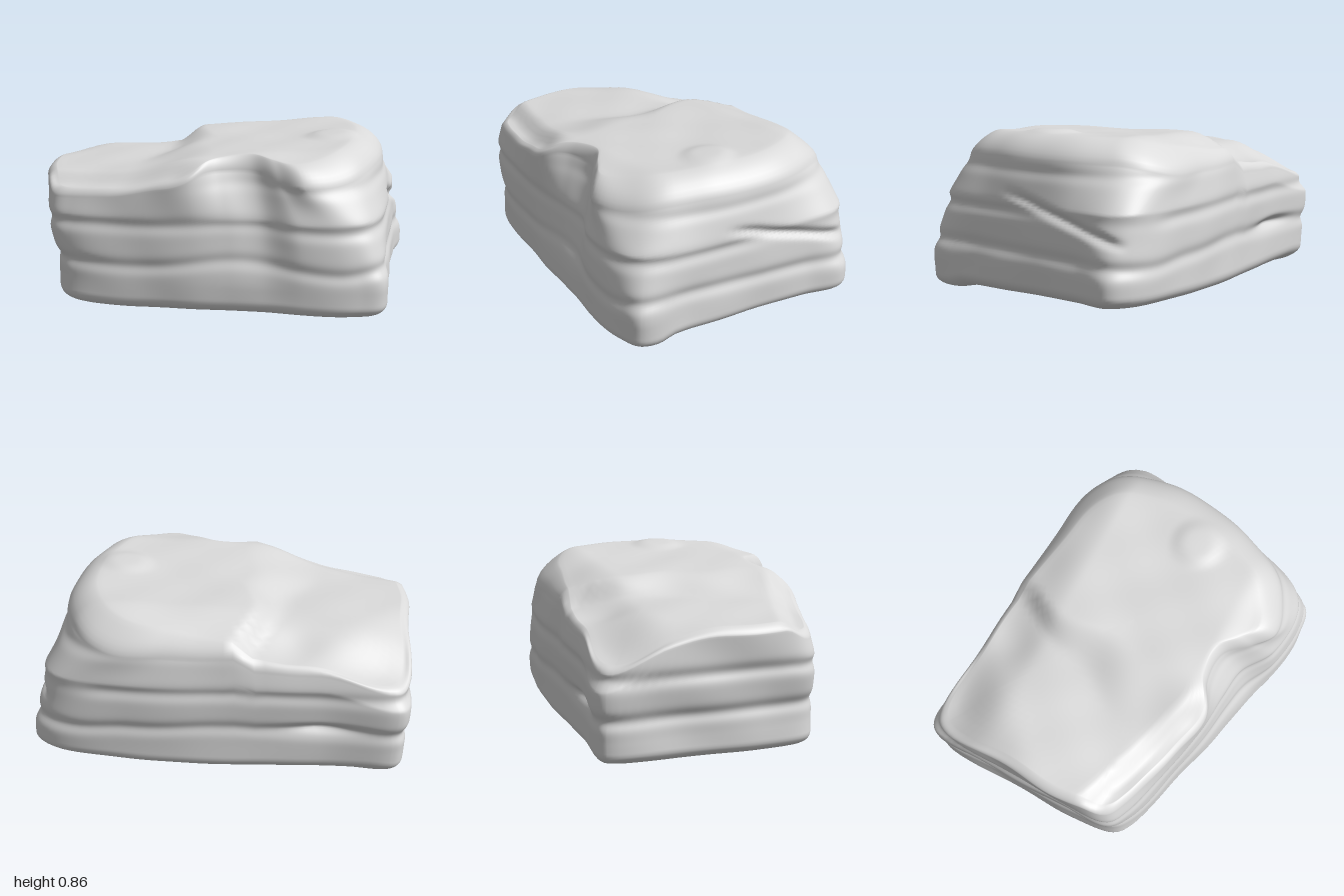
import * as THREE from 'three';

const { lerp, smoothstep, clamp } = THREE.MathUtils;

// Plan outlines [x, z], matched point for point: foot, middle and upper edge
const FOOT = [[-0.92, 0.36], [-0.84, 0.43], [-0.5, 0.52], [-0.25, 0.59], [-0.05, 0.63], [0.12, 0.67], [0.33, 0.73],
  [0.6, 0.755], [0.74, 0.72], [0.8, 0.42], [0.87, 0.05], [0.94, -0.25], [1.0, -0.46], [0.91, -0.56], [0.5, -0.66],
  [0, -0.69], [-0.5, -0.7], [-0.86, -0.74], [-0.92, -0.7], [-0.94, -0.3], [-0.95, 0.1]];
const MIDDLE = [[-0.97, 0.36], [-0.86, 0.43], [-0.5, 0.52], [-0.25, 0.57], [-0.05, 0.58], [0.12, 0.6], [0.3, 0.71],
  [0.52, 0.73], [0.69, 0.65], [0.8, 0.36], [0.87, 0.02], [0.91, -0.22], [0.93, -0.44], [0.85, -0.56], [0.5, -0.66],
  [0, -0.69], [-0.5, -0.71], [-0.89, -0.755], [-0.95, -0.71], [-0.98, -0.3], [-0.99, 0.1]];
const UPPER = [[-0.96, 0.34], [-0.85, 0.41], [-0.5, 0.51], [-0.27, 0.57], [-0.1, 0.49], [0.07, 0.49], [0.2, 0.6],
  [0.33, 0.69], [0.58, 0.59], [0.74, 0.31], [0.82, 0.0], [0.82, -0.25], [0.76, -0.46], [0.62, -0.61], [0.3, -0.65],
  [0, -0.67], [-0.5, -0.69], [-0.88, -0.725], [-0.94, -0.68], [-0.98, -0.28], [-1.0, 0.08]];

const SEGMENTS = 189, SIDE_ROWS = 56, CAP_ROWS = 24, ROUND_ROWS = 8;
const FOOT_ROUND = 0.065, FOOT_INSET = 0.1;

const sampleLoop = (points) => {
  const curve = new THREE.CatmullRomCurve3(points.map(([x, z]) => new THREE.Vector3(x, 0, z)), true, 'centripetal');
  return Array.from({ length: SEGMENTS }, (_, i) => curve.getPoint(i / SEGMENTS));
};
const bell = (d, width) => Math.exp(-((d / width) ** 2));
const ripple = (x, y, z) =>
  Math.sin(7 * x + 3 * z + 5 * y) * Math.sin(6 * z - 4 * x + 9 * y) + 0.5 * Math.sin(15 * x + 11 * y) * Math.sin(14 * z + 1);

// The rim is tight on the low left end and broad on the high right end
const rimDrop = (x) => lerp(0.045, 0.12, smoothstep(x, -0.5, 0.6));
const rimInset = (x) => lerp(0.05, 0.19, smoothstep(x, -0.4, 0.8));

// Sloping top with a raised slab, a low knob and a shallow dent
function topHeight(x, z) {
  const ledge = x + 0.13 + 0.46 * (z + 0.6) + 0.02 * Math.sin(14 * z);
  const width = 0.05 + 0.45 * clamp(z + 0.5, 0, 1);
  const slab = 0.72 + 0.05 * (x + 0.4) + 0.075 * smoothstep(ledge, -0.03, width)
    + 0.015 * (1 - smoothstep(Math.hypot(x - 0.53, z - 0.1), 0.07, 0.16))
    - 0.025 * bell(Math.hypot(x + 0.37, z + 0.5), 0.13);
  // worn back edge, back left corner and chipped front edges
  const wear = 0.08 * smoothstep(-z, 0.36, 0.68)
    + 0.09 * smoothstep(-0.7 * (x + z), 0.72, 1.1)
    + 0.03 * smoothstep(z, 0.42, 0.62)
    + 0.06 * smoothstep(z - 0.33 - 0.35 * (x + 0.95), -0.15, -0.03) * (1 - smoothstep(x, -0.35, -0.1));
  return slab - wear + 0.005 * ripple(x, 0, z);
}

// Underside with a low bent diagonal step, higher toward the back right
function baseHeight(x, z) {
  const step = 0.8 * x - z - 0.14 * bell(x + 0.25, 0.5);
  return 0.012 + 0.022 * smoothstep(step, -0.02, 0.1) + 0.008 * Math.sin(3 * x + 2 * z)
    + 0.012 * smoothstep(-x, 0.5, 0.95);
}

// Inward depth of the bedding grooves and cracks on the sides
function grooveDepth(x, y, z) {
  const front = z > 0 ? 1 : 0.4;
  const wave = front * 0.035 * Math.cos(5 * x) * bell(x, 0.8) + 0.04 * z * smoothstep(x, 0.5, 0.8);
  const flankFade = 1 - 0.8 * smoothstep(x, 0.6, 0.8) * smoothstep(-z, -0.2, 0.1);
  let depth = 0.018 * bell(y - 0.26 - wave, 0.035) + 0.018 * flankFade * bell(y - 0.465 - 0.4 * wave, 0.035)
    + 0.01 * bell(y - 0.67 - 0.3 * wave, 0.03) * smoothstep(x, -0.4, 0.2);
  // slanting crack on the right flank
  if (x > 0.6) depth += 0.035 * bell(y - 0.5 - 0.28 * z, 0.024) * smoothstep(z, -0.55, -0.4) * (1 - smoothstep(z, 0.05, 0.25));
  // open crack in the back
  if (z < -0.5) depth += 0.06 * bell(y - 0.28, 0.025) * bell(x + 0.55, 0.18);
  return depth + 0.006 * ripple(x, y, z);
}

function createRockGeometry() {
  const foot = sampleLoop(FOOT), middle = sampleLoop(MIDDLE), upper = sampleLoop(UPPER);
  const positions = [], indices = [];
  let rows = 0;
  const addRow = (pointAt) => {
    for (let i = 0; i < SEGMENTS; i++) positions.push(...pointAt(i));
    rows++;
  };
  const sidePoint = (i, t) => {
    const edge = topHeight(upper[i].x * 0.92, upper[i].z * 0.92) - rimDrop(upper[i].x);
    const start = baseHeight(foot[i].x, foot[i].z) + FOOT_ROUND;
    const y = lerp(start, edge, t);
    const bend = Math.min(0.5, edge - 0.08);
    const p = y < bend
      ? foot[i].clone().lerp(middle[i], smoothstep(y, 0.15, bend))
      : middle[i].clone().lerp(upper[i], (y - bend) / (edge - bend));
    const s = 1 - grooveDepth(p.x, y, p.z);
    return [p.x * s, y, p.z * s];
  };
  const basePoint = (i, s, lift) => {
    const [x, , z] = sidePoint(i, 0);
    const blend = smoothstep(s, 1 - FOOT_INSET, 1);
    return [x * s, lerp(baseHeight(x * s, z * s), baseHeight(foot[i].x, foot[i].z), blend) + lift, z * s];
  };
  const topPoint = (i, s, drop) => {
    const [x, y, z] = sidePoint(i, 1);
    const blend = smoothstep(s, 1 - rimInset(upper[i].x), 1);
    return [x * s, lerp(topHeight(x * s, z * s), y + rimDrop(upper[i].x), blend) - drop, z * s];
  };

  // underside, rounded foot, layered sides, bevelled rim, top
  for (let k = 0; k < CAP_ROWS; k++) addRow((i) => basePoint(i, (1 - FOOT_INSET) * k / CAP_ROWS, 0));
  for (let k = 0; k < ROUND_ROWS; k++) {
    const a = (k / ROUND_ROWS) * Math.PI / 2;
    addRow((i) => basePoint(i, 1 - FOOT_INSET * (1 - Math.sin(a)), FOOT_ROUND * (1 - Math.cos(a))));
  }
  for (let k = 0; k <= SIDE_ROWS; k++) addRow((i) => sidePoint(i, k / SIDE_ROWS));
  for (let k = 1; k <= ROUND_ROWS; k++) {
    const a = (k / ROUND_ROWS) * Math.PI / 2;
    const across = 1 - Math.max(0, Math.cos(a)) ** 1.3, below = 1 - Math.sin(a) ** 1.3;
    addRow((i) => topPoint(i, 1 - rimInset(upper[i].x) * across, rimDrop(upper[i].x) * below));
  }
  for (let k = 1; k <= CAP_ROWS; k++) addRow((i) => topPoint(i, (1 - rimInset(upper[i].x)) * (1 - k / CAP_ROWS), 0));

  for (let r = 0; r < rows - 1; r++) {
    for (let i = 0; i < SEGMENTS; i++) {
      const j = (i + 1) % SEGMENTS;
      const a = r * SEGMENTS + i, b = r * SEGMENTS + j, c = a + SEGMENTS, d = b + SEGMENTS;
      if (r === rows - 2) indices.push(a, b, c);
      else indices.push(a, d, c);
      if (r > 0 && r < rows - 2) indices.push(a, b, d);
    }
  }
  const geometry = new THREE.BufferGeometry();
  geometry.setAttribute('position', new THREE.Float32BufferAttribute(positions, 3));
  geometry.setIndex(indices);
  geometry.computeBoundingBox();
  geometry.translate(0, -geometry.boundingBox.min.y, 0);
  geometry.computeVertexNormals();
  return geometry;
}

export function createModel() {
  const group = new THREE.Group();
  group.name = 'layeredRock';
  const stone = new THREE.MeshStandardMaterial({ color: 0xdadada });
  stone.name = 'paleStone';
  const rock = new THREE.Mesh(createRockGeometry(), stone);
  rock.name = 'rockBody';
  group.add(rock);
  return group;
}
